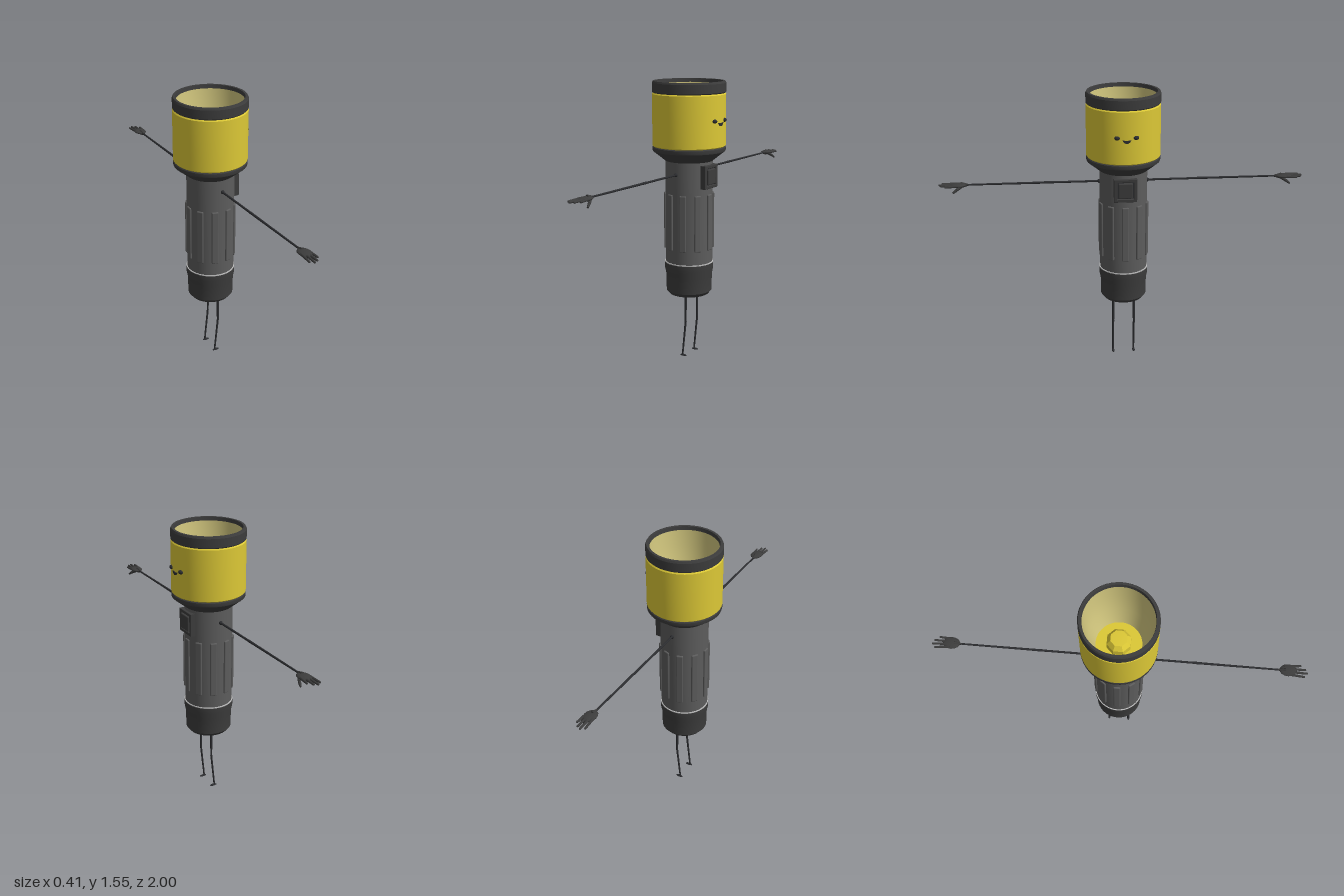
import * as THREE from 'three';
import { toCreasedNormals } from 'three/addons/utils/BufferGeometryUtils.js';
import { RoundedBoxGeometry } from 'three/addons/geometries/RoundedBoxGeometry.js';

const mat = (name, color) => {
  const m = new THREE.MeshStandardMaterial({ color });
  m.name = name;
  return m;
};

export function createModel() {
  const yellow = mat('yellow', 0xdcc836);
  const pale = mat('paleReflector', 0xcfc47c);
  const grey = mat('greyBody', 0x5c5c5c);
  const dark = mat('darkRubber', 0x3c3c3c);
  const black = mat('blackDetail', 0x2c2d30);
  const silver = mat('silverTrim', 0xb8b8b8);

  const model = new THREE.Group();
  model.name = 'flashlightFigure';
  const body = new THREE.Group();
  body.name = 'flashlight';
  body.position.x = -0.005;
  model.add(body);

  const add = (parent, name, geometry, material, x = 0, y = 0, z = 0) => {
    const mesh = new THREE.Mesh(geometry, material);
    mesh.name = name;
    mesh.position.set(x, y, z);
    parent.add(mesh);
    return mesh;
  };
  // Turned part from [radius, height] points, with sharp edges kept
  const turned = (name, points, material, sides = 48, crease = 0.4) => {
    const g = new THREE.LatheGeometry(points.map(p => new THREE.Vector2(...p)), sides);
    return add(body, name, toCreasedNormals(g, crease), material);
  };
  // Tapered round bar between two points
  const bar = (parent, name, a, b, ra, rb, material, sides = 8) => {
    const p = new THREE.Vector3(...a), q = new THREE.Vector3(...b);
    const mesh = add(parent, name, new THREE.CylinderGeometry(rb, ra, p.distanceTo(q), sides), material);
    mesh.position.copy(p).lerp(q, 0.5);
    mesh.quaternion.setFromUnitVectors(new THREE.Vector3(0, 1, 0), q.sub(p).normalize());
    return mesh;
  };

  // Handle, from the tail cap up to the neck
  turned('tailCap', [[0, 0.364], [0.11, 0.364], [0.127, 0.384], [0.129, 0.48], [0.136, 0.515],
    [0.136, 0.548], [0.13, 0.549]], dark);
  turned('tailTrim', [[0.136, 0.548], [0.136, 0.553], [0.128, 0.554]], silver);
  turned('handle', [[0.131, 0.55], [0.131, 1.13]], grey);
  turned('neck', [[0.131, 1.122], [0.199, 1.176], [0.201, 1.182], [0.201, 1.197], [0.196, 1.203]], dark);

  // Raised grip ribs around the handle
  for (let i = 0; i < 10; i++) {
    const a = i * Math.PI / 5;
    const rib = add(body, 'gripRib', new RoundedBoxGeometry(0.026, 0.315, 0.038, 2, 0.006), grey,
      Math.cos(a) * 0.126, 0.785, Math.sin(a) * 0.126);
    rib.rotation.y = -a;
  }

  // Head, rim and hollow reflector
  turned('head', [[0.195, 1.2], [0.201, 1.207], [0.201, 1.485], [0.195, 1.492]], yellow);
  turned('headRim', [[0.194, 1.49], [0.201, 1.497], [0.201, 1.545], [0.196, 1.555], [0.183, 1.555],
    [0.18, 1.535]], dark);
  turned('reflector', [[0.181, 1.54], [0.172, 1.45], [0.153, 1.34], [0.12, 1.24]], pale, 48, 0.7);
  turned('reflectorFloor', [[0.122, 1.24], [0, 1.24]], yellow);
  turned('bulb', [[0.066, 1.235], [0.066, 1.285], [0.046, 1.315], [0, 1.318]], yellow, 8, 0.3)
    .rotation.y = Math.PI / 8;

  // Switch: square frame with a raised button
  const frame = new THREE.Shape([[-0.06, -0.062], [0.06, -0.062], [0.06, 0.062], [-0.06, 0.062]]
    .map(p => new THREE.Vector2(...p)));
  frame.holes.push(new THREE.Path([[-0.047, -0.049], [-0.047, 0.049], [0.047, 0.049], [0.047, -0.049]]
    .map(p => new THREE.Vector2(...p))));
  const frameGeo = new THREE.ExtrudeGeometry(frame,
    { depth: 0.036, bevelEnabled: true, bevelSize: 0.002, bevelThickness: 0.002, bevelSegments: 1 });
  frameGeo.rotateY(Math.PI / 2);
  add(body, 'switchFrame', frameGeo, dark, 0.108, 1.042, 0);
  add(body, 'switchBase', new THREE.BoxGeometry(0.025, 0.1, 0.096), black, 0.122, 1.042, 0);
  add(body, 'switchButton', new RoundedBoxGeometry(0.04, 0.084, 0.078, 2, 0.005), dark, 0.131, 1.042, 0);

  // Face on the left side of the head
  for (const s of [1, -1]) {
    const eye = add(body, 'eye', new THREE.SphereGeometry(1, 16, 12), black, 0.195, 1.35, s * 0.05);
    eye.scale.set(0.012, 0.011, 0.015);
    eye.rotation.y = -s * 0.25;
  }
  const smile = new THREE.Shape();
  smile.moveTo(-0.023, 0.007);
  smile.quadraticCurveTo(0, 0.001, 0.023, 0.007);
  smile.quadraticCurveTo(0.015, -0.011, 0, -0.012);
  smile.quadraticCurveTo(-0.015, -0.011, -0.023, 0.007);
  const smileGeo = new THREE.ExtrudeGeometry(smile, { depth: 0.007, bevelEnabled: false });
  smileGeo.rotateY(Math.PI / 2);
  add(body, 'mouth', smileGeo, black, 0.198, 1.333, 0);

  for (const s of [1, -1]) {
    // Arm with a slightly thicker elbow
    const arm = new THREE.Group();
    arm.name = s > 0 ? 'frontArm' : 'backArm';
    model.add(arm);
    const y = 1.056;
    bar(arm, 'upperArm', [-0.004, y, s * 0.11], [-0.004, y, s * 0.44], 0.006, 0.006, black);
    bar(arm, 'forearm', [-0.004, y, s * 0.44], [-0.004, y, s * 0.86], 0.0065, 0.005, black);
    add(arm, 'shoulder', new THREE.SphereGeometry(0.011, 12, 8), black, -0.004, y, s * 0.132);
    add(arm, 'elbow', new THREE.SphereGeometry(1, 10, 8), black, -0.004, y, s * 0.42)
      .scale.set(0.007, 0.007, 0.05);

    // Hand: flat palm, four fingers and a lowered thumb
    add(arm, 'palm', new THREE.SphereGeometry(1, 14, 10), dark, -0.003, y, s * 0.895)
      .scale.set(0.034, 0.01, 0.046);
    bar(arm, 'wrist', [-0.004, y, s * 0.84], [-0.004, y, s * 0.88], 0.006, 0.018, dark).scale.x = 0.6;
    [0.965, 0.99, 1.0, 0.985].forEach((tip, i) => {
      const x = 0.024 - i * 0.018;
      bar(arm, 'finger', [x * 0.85, y, s * 0.9], [x * 1.1, y - 0.002, s * (tip - 0.005)], 0.008, 0.0055, dark);
      add(arm, 'fingertip', new THREE.SphereGeometry(0.0055, 8, 6), dark, x * 1.1, y - 0.002, s * (tip - 0.0055));
    });
    bar(arm, 'thumbBase', [0.008, y, s * 0.87], [0.026, 1.038, s * 0.9], 0.01, 0.008, dark);
    bar(arm, 'thumb', [0.026, 1.038, s * 0.9], [0.034, 1.022, s * 0.922], 0.008, 0.005, dark);

    // Leg with a bent knee and a small flat foot
    const leg = new THREE.Group();
    leg.name = s > 0 ? 'frontLeg' : 'backLeg';
    model.add(leg);
    bar(leg, 'thigh', [0.01, 0.38, s * 0.058], [0.011, 0.205, s * 0.06], 0.007, 0.006, black);
    add(leg, 'knee', new THREE.SphereGeometry(0.0065, 8, 6), black, 0.011, 0.205, s * 0.06);
    bar(leg, 'shin', [0.011, 0.205, s * 0.06], [-0.01, 0.006, s * 0.06], 0.006, 0.005, black);
    const foot = add(leg, 'foot', new THREE.SphereGeometry(1, 12, 6, 0, Math.PI * 2, 0, Math.PI / 2), black,
      -0.003, 0, s * 0.06);
    foot.scale.set(0.021, 0.009, 0.008);
  }
  return model;
}
